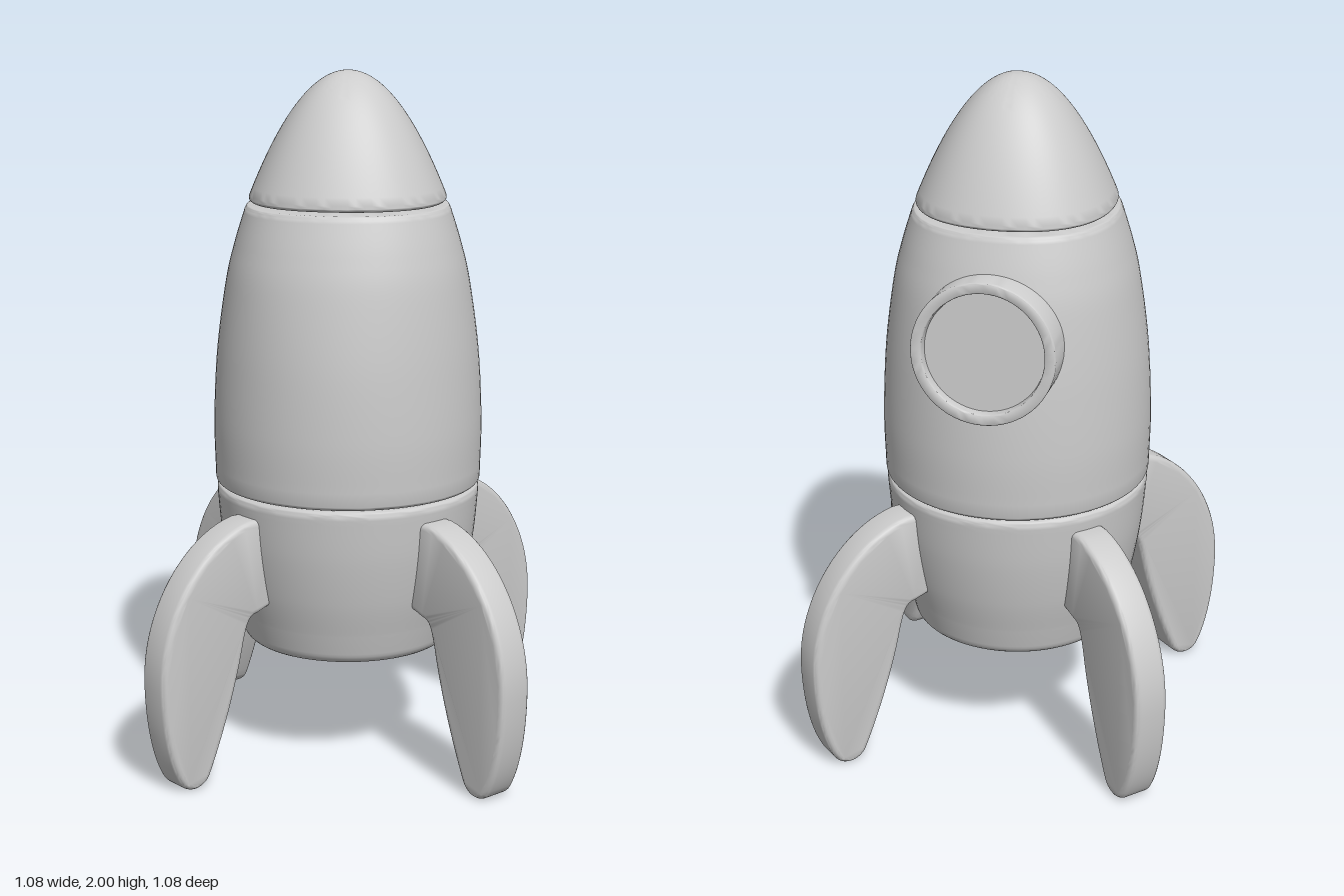
import * as THREE from 'three';
import { toCreasedNormals } from 'three/addons/utils/BufferGeometryUtils.js';

const material = new THREE.MeshStandardMaterial({ color: 0xcccccc });
const v2 = (p) => new THREE.Vector2(p[0], p[1]);

function addMesh(parent, name, geometry) {
  const mesh = new THREE.Mesh(geometry, material);
  mesh.name = name;
  parent.add(mesh);
  return mesh;
}

// Smooth curve through a few [radius, height] points
const smooth = (points, n = 32) => new THREE.SplineCurve(points.map(v2)).getPoints(n);

// Quarter-round edge between two angles (degrees)
function fillet(cx, cy, r, a0, a1, n = 6) {
  return Array.from({ length: n + 1 }, (_, i) => {
    const a = THREE.MathUtils.degToRad(a0 + ((a1 - a0) * i) / n);
    return new THREE.Vector2(cx + r * Math.cos(a), cy + r * Math.sin(a));
  });
}

// Turned shell whose section becomes slightly square towards the top
function turned(profile, segments = 80) {
  const geo = new THREE.LatheGeometry(profile, segments);
  const pos = geo.attributes.position;
  for (let i = 0; i < pos.count; i++) {
    const x = pos.getX(i), y = pos.getY(i), z = pos.getZ(i);
    const blend = THREE.MathUtils.smoothstep(y, 1.1, 1.62);
    const k = 1 + 0.02 * blend * (1 - Math.cos(4 * Math.atan2(z, x)));
    pos.setXYZ(i, x * k, y, z * k);
  }
  return toCreasedNormals(geo, 0.7);
}

function finGeometry() {
  const bevel = 0.018, thickness = 0.106;
  const shape = new THREE.Shape();
  shape.moveTo(0.34, 0.737);
  shape.lineTo(0.4, 0.737);
  shape.bezierCurveTo(0.56, 0.71, 0.7, 0.53, 0.7, 0.33);
  shape.bezierCurveTo(0.7, 0.2, 0.675, 0.09, 0.64, 0.035);
  shape.bezierCurveTo(0.625, 0.012, 0.585, 0.012, 0.57, 0.045);
  shape.bezierCurveTo(0.53, 0.13, 0.485, 0.25, 0.455, 0.37);
  shape.bezierCurveTo(0.435, 0.46, 0.425, 0.49, 0.385, 0.495);
  shape.lineTo(0.34, 0.51);
  shape.closePath();
  const geo = new THREE.ExtrudeGeometry(shape, {
    depth: thickness - 2 * bevel, bevelSize: bevel, bevelThickness: bevel,
    bevelSegments: 4, curveSegments: 20,
  });
  geo.translate(0, 0, bevel - thickness / 2);
  return toCreasedNormals(geo, 0.7);
}

export function createModel() {
  const rocket = new THREE.Group();
  rocket.name = 'rocket';

  // Lower engine section with a rounded base
  addMesh(rocket, 'engineSection', turned([
    v2([0, 0.33]), v2([0.15, 0.33]),
    ...fillet(0.272, 0.37, 0.04, -90, -10),
    ...smooth([[0.325, 0.42], [0.35, 0.52], [0.372, 0.65], [0.384, 0.78]]),
    ...fillet(0.369, 0.79, 0.015, 0, 90),
    v2([0.2, 0.806]), v2([0, 0.806]),
  ]));

  // Main hull
  addMesh(rocket, 'hull', turned([
    v2([0, 0.806]), v2([0.2, 0.806]),
    ...fillet(0.373, 0.824, 0.015, -90, 0),
    ...smooth([[0.389, 0.86], [0.391, 1.0], [0.38, 1.2], [0.352, 1.4], [0.326, 1.51], [0.295, 1.61]], 40),
    ...fillet(0.282, 1.611, 0.011, 10, 90),
    v2([0.15, 1.622]), v2([0, 1.622]),
  ]));

  // Nose cone
  const nose = Array.from({ length: 33 }, (_, i) => {
    const r = 0.281 * (1 - i / 32);
    return new THREE.Vector2(r, 2 - 0.35 * (r / 0.281) ** 2);
  });
  addMesh(rocket, 'noseCone', turned([
    v2([0, 1.631]), v2([0.15, 1.631]),
    ...fillet(0.272, 1.642, 0.011, -90, 10),
    ...nose,
  ]));

  // Porthole on the back, tipped slightly upwards
  const porthole = addMesh(rocket, 'porthole', toCreasedNormals(new THREE.LatheGeometry([
    v2([0, -0.22]), v2([0.204, -0.22]),
    ...fillet(0.198, -0.006, 0.006, 0, 90, 4),
    ...fillet(0.178, -0.006, 0.006, 90, 180, 4),
    v2([0.17, -0.028]), v2([0, -0.028]),
  ], 64), 0.7));
  porthole.position.set(0, 1.325, -0.42);
  porthole.rotation.x = -THREE.MathUtils.degToRad(86);

  // Four diagonal fins
  const finGeo = finGeometry();
  for (let i = 0; i < 4; i++) {
    const fin = addMesh(rocket, 'fin' + (i + 1), finGeo);
    fin.rotation.y = Math.PI / 4 + (i * Math.PI) / 2;
  }
  return rocket;
}
